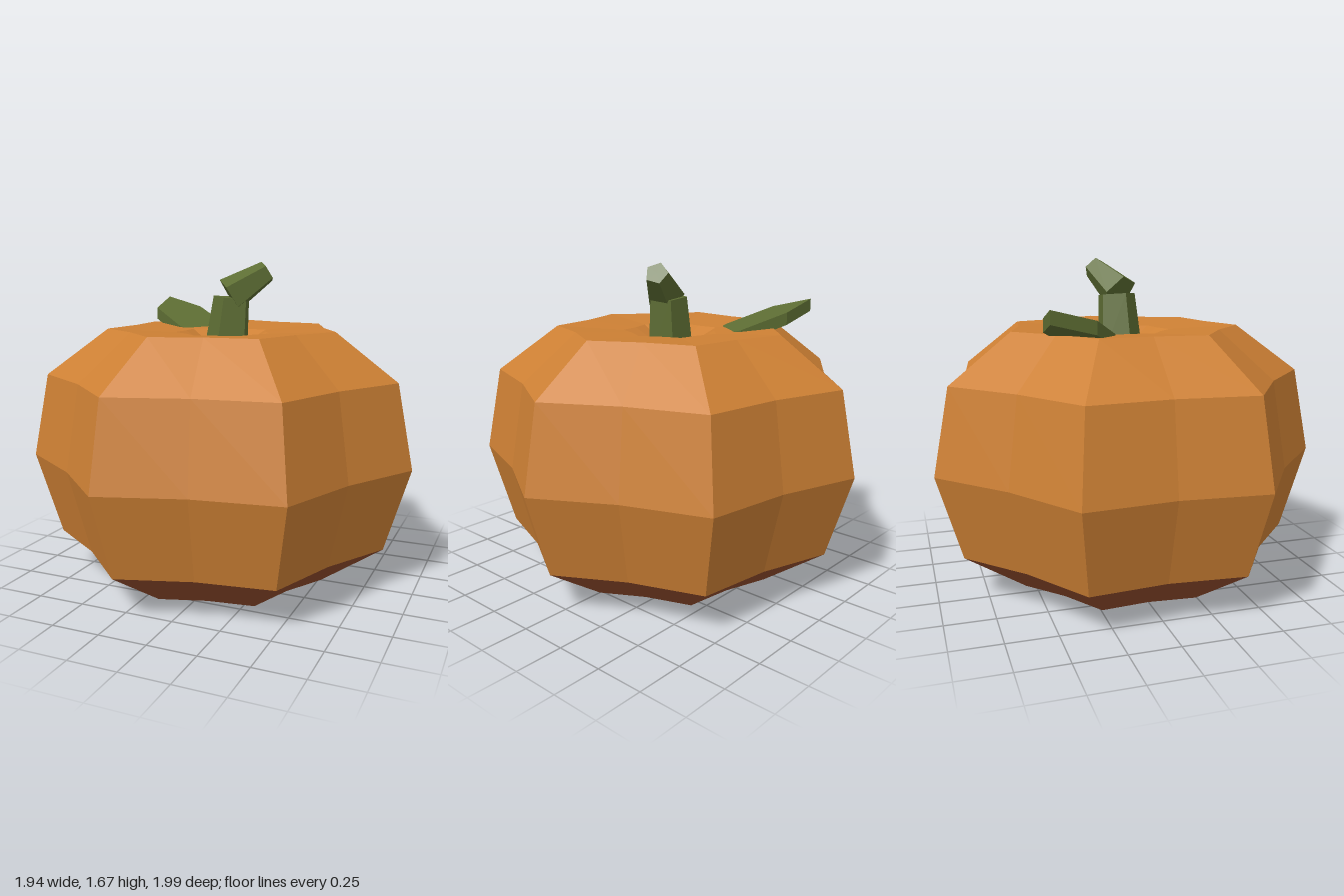
import * as THREE from 'three';

const flat = (name, hex) => {
  const m = new THREE.MeshStandardMaterial({ color: hex });
  m.name = name;
  return m;
};

const LOBES = 7;
const CENTRE_X = -0.05;

// Ribbed skin: star-shaped rings lofted from [radius, height] pairs, bottom to top
function ribbedSkin(profile) {
  const n = LOBES * 2;
  const point = ([r, y], j) => {
    const a = (j / n) * Math.PI * 2;
    const rr = j % 2 ? r * 0.865 : r;
    return [CENTRE_X + rr * Math.cos(a), y, rr * Math.sin(a)];
  };
  const pos = [];
  for (let i = 0; i < profile.length - 1; i++) {
    const lo = profile[i], hi = profile[i + 1];
    for (let j = 0; j < n; j++) {
      const a = point(lo, j), b = point(hi, j), c = point(hi, j + 1), d = point(lo, j + 1);
      if (hi[0] > 0) pos.push(...a, ...b, ...c);
      if (lo[0] > 0) pos.push(...a, ...c, ...d);
    }
  }
  const g = new THREE.BufferGeometry();
  g.setAttribute('position', new THREE.Float32BufferAttribute(pos, 3));
  g.computeVertexNormals();
  return g;
}

// Five-sided tapered segment between two points
function segment(from, to, r0, r1) {
  const a = new THREE.Vector3(...from), b = new THREE.Vector3(...to);
  const dir = b.clone().sub(a);
  let g = new THREE.CylinderGeometry(r1, r0, dir.length(), 5, 1, false, -0.07).toNonIndexed();
  g.applyQuaternion(new THREE.Quaternion().setFromUnitVectors(new THREE.Vector3(0, 1, 0), dir.normalize()));
  const mid = a.add(b).multiplyScalar(0.5);
  g.translate(mid.x, mid.y, mid.z);
  g.computeVertexNormals();
  return g;
}

// Leaf with a short stalk, sloping upward away from the stem
function leafGeometry() {
  const outline = [
    [-0.12, -0.09], [-0.28, -0.11], [-0.37, -0.12], [-0.59, -0.27], [-0.62, -0.49],
    [-0.41, -0.48], [-0.2, -0.34], [-0.18, -0.27], [-0.27, -0.115], [-0.14, -0.15],
  ];
  const shape = new THREE.Shape(outline.map(([x, z]) => new THREE.Vector2(x, -z)));
  const g = new THREE.ExtrudeGeometry(shape, { depth: 0.065, bevelEnabled: false });
  g.rotateX(-Math.PI / 2);
  const p = g.attributes.position;
  for (let i = 0; i < p.count; i++) {
    const slope = 1.465 - 0.252 * (p.getX(i) + 0.62) - 0.215 * (p.getZ(i) + 0.49);
    p.setY(i, p.getY(i) - 0.065 + slope);
  }
  g.computeVertexNormals();
  return g;
}

export function createModel() {
  const orange = flat('orange skin', 0xcd8034);
  const brown = flat('brown underside', 0x914c2d);
  const green = flat('green stem', 0x5d6d33);
  for (const m of [orange, brown, green]) m.flatShading = true;

  const model = new THREE.Group();
  model.name = 'pumpkin';
  const add = (name, geometry, material) => {
    const mesh = new THREE.Mesh(geometry, material);
    mesh.name = name;
    model.add(mesh);
  };

  // Underside with a hollow centre
  add('underside', ribbedSkin([[0, 0.15], [0.565, 0], [0.89, 0.22]]), brown);

  // Main body with a dimple around the stem
  add('body', ribbedSkin([
    [0.89, 0.22], [1.02, 0.655], [0.935, 1.09], [0.61, 1.33], [0.257, 1.31], [0, 1.18],
  ]), orange);

  // Bent stem
  add('lowerStem', segment([-0.035, 1.18, 0], [-0.005, 1.49, -0.01], 0.125, 0.1), green);
  add('upperStem', segment([-0.01, 1.5, 0.01], [0.163, 1.625, -0.085], 0.1, 0.06), green);

  add('leaf', leafGeometry(), green);
  return model;
}
